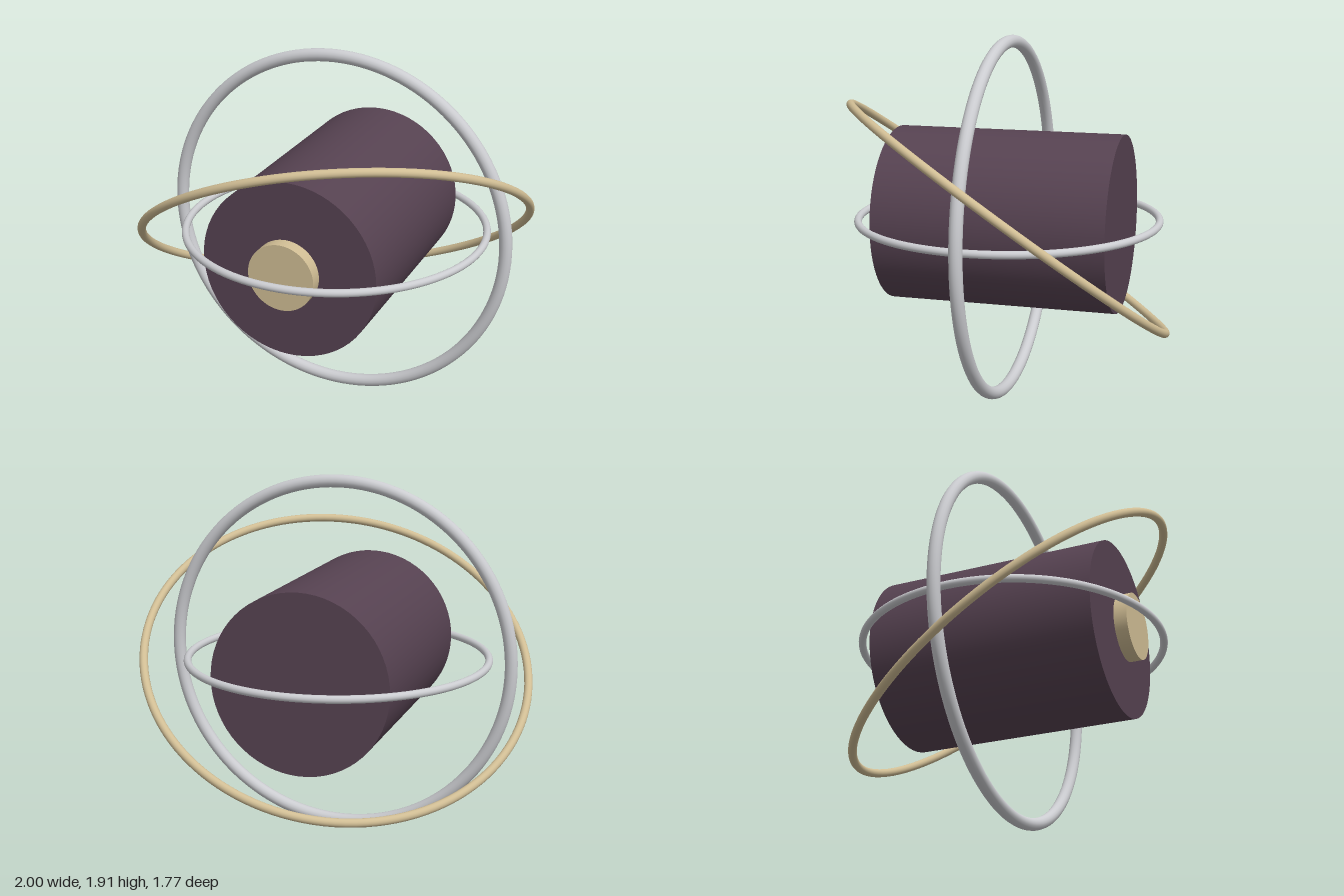
import * as THREE from 'three';

const CENTRE_Y = 0.957;

function material(name, color) {
  const m = new THREE.MeshStandardMaterial({ color });
  m.name = name;
  return m;
}

export function createModel() {
  const group = new THREE.Group();
  group.name = 'ringedDrum';

  const plum = material('plum', 0x564251);
  const sand = material('sand', 0xd0bd94);
  const silver = material('silver', 0xcbccd0);

  // Cylinder lying along z
  function drum(name, radius, length, z, mat) {
    const mesh = new THREE.Mesh(new THREE.CylinderGeometry(radius, radius, length, 64), mat);
    mesh.name = name;
    mesh.rotation.x = Math.PI / 2;
    mesh.position.set(0, CENTRE_Y, z);
    group.add(mesh);
  }

  // Ring whose axis points along the given normal
  function ring(name, radius, tube, normal, mat) {
    const mesh = new THREE.Mesh(new THREE.TorusGeometry(radius, tube, 16, 128), mat);
    mesh.name = name;
    mesh.quaternion.setFromUnitVectors(new THREE.Vector3(0, 0, 1), normal.normalize());
    mesh.position.y = CENTRE_Y;
    group.add(mesh);
  }

  // Body and the front disc floating just ahead of it
  drum('body', 0.464, 1.21, 0, plum);
  drum('frontDisc', 0.174, 0.068, 0.657, sand);

  // Upright, level and tilted rings
  ring('uprightRing', 0.924, 0.033, new THREE.Vector3(0, 0, 1), silver);
  ring('levelRing', 0.793, 0.02, new THREE.Vector3(0, 1, 0), silver);
  ring('tiltedRing', 1.018, 0.022, new THREE.Vector3(-0.284, 0.798, -0.533), sand);

  return group;
}
